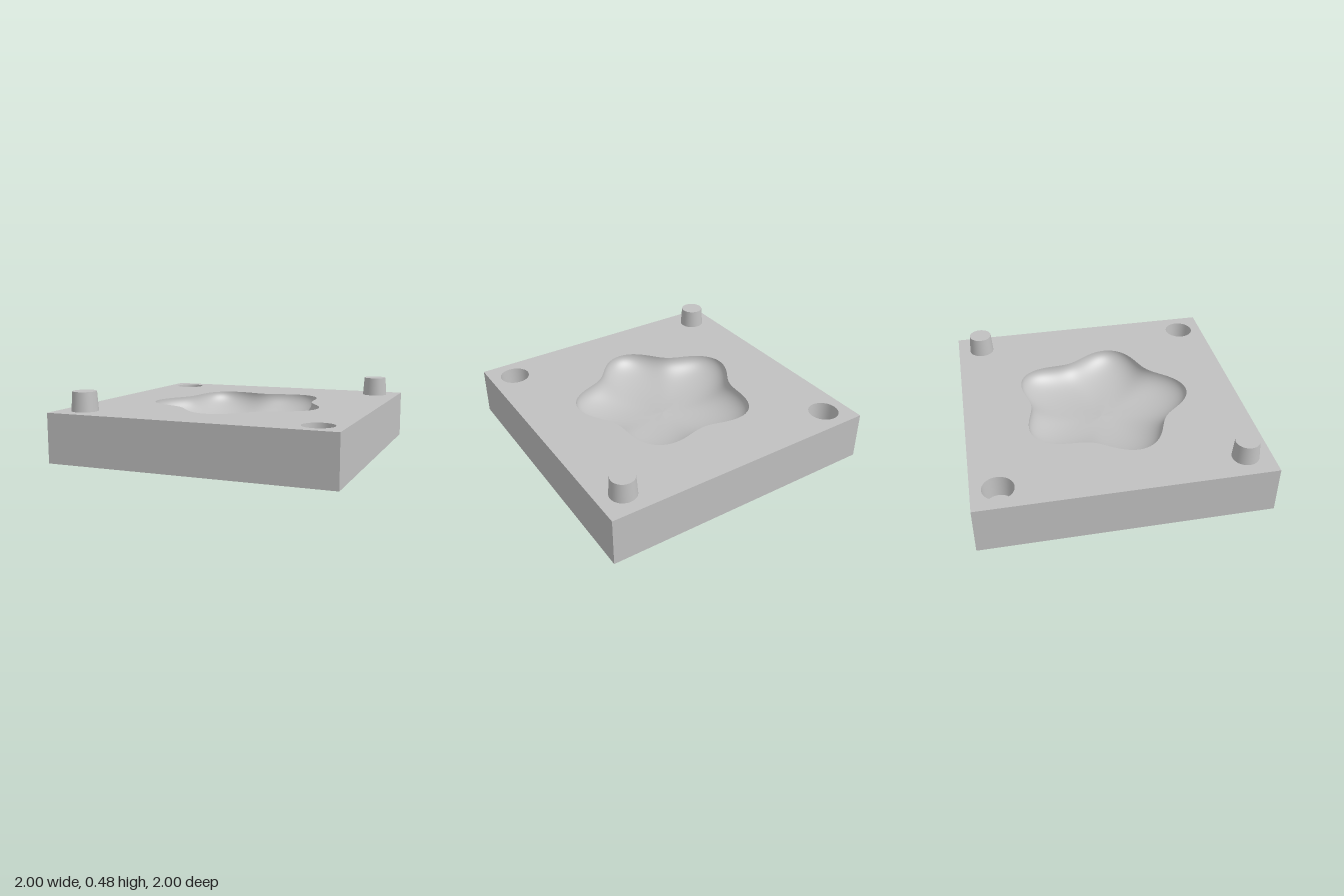
import * as THREE from 'three';

const TOP = 0.345;      // height of the parting face
const CORNER = 0.82;    // pin and socket offset
const SEG = 160, RINGS = 36;

const starRadius = (a) => 0.58 + 0.065 * Math.cos(5 * a);
// Bowl depth: steep at the rim, with a shallow dimple at the centre
const depth = (t) => 0.2 * Math.sqrt(Math.max(0, 1 - t ** 2.5)) - 0.03 * (1 - t);

function cavityGeometry() {
  const pos = [], idx = [];
  for (let i = 0; i <= RINGS; i++) {
    const t = Math.sin((i / RINGS) * Math.PI / 2);
    for (let j = 0; j < SEG; j++) {
      const a = (j / SEG) * Math.PI * 2, r = t * starRadius(a);
      pos.push(r * Math.sin(a), TOP - depth(t), r * Math.cos(a));
      if (i === RINGS) continue;
      const n = (j + 1) % SEG, p = i * SEG, q = p + SEG;
      idx.push(p + j, q + j, q + n);
      if (i > 0) idx.push(p + j, q + n, p + n);
    }
  }
  const g = new THREE.BufferGeometry();
  g.setAttribute('position', new THREE.Float32BufferAttribute(pos, 3));
  g.setIndex(idx);
  g.computeVertexNormals();
  return g;
}

export function createModel() {
  const group = new THREE.Group();
  const grey = new THREE.MeshStandardMaterial({ color: 0xc0c0c0 });
  grey.name = 'mould grey';
  const add = (name, geometry, x = 0, y = 0, z = 0) => {
    const m = new THREE.Mesh(geometry, grey);
    m.name = name;
    m.position.set(x, y, z);
    group.add(m);
    return m;
  };

  // Block sides and underside: a box without its top face
  const box = new THREE.BoxGeometry(2, TOP, 2);
  const index = Array.from(box.index.array);
  index.splice(12, 6);
  box.setIndex(index);
  box.clearGroups();
  add('block', box, 0, TOP / 2, 0);

  // Parting face, pierced by the star cavity and two sockets
  const face = new THREE.Shape([[-1, -1], [1, -1], [1, 1], [-1, 1]].map((p) => new THREE.Vector2(...p)));
  const star = [];
  for (let j = 0; j < SEG; j++) {
    const a = (j / SEG) * Math.PI * 2, r = starRadius(a);
    star.push(new THREE.Vector2(r * Math.sin(a), -r * Math.cos(a)));
  }
  face.holes.push(new THREE.Path(star));
  for (const s of [-1, 1]) {
    const ring = [];
    for (let j = 0; j < 32; j++) {
      const a = (j / 32) * Math.PI * 2;
      ring.push(new THREE.Vector2(s * CORNER + 0.106 * Math.sin(a), -s * CORNER + 0.106 * Math.cos(a)));
    }
    face.holes.push(new THREE.Path(ring));
  }
  add('partingFace', new THREE.ShapeGeometry(face).rotateX(-Math.PI / 2), 0, TOP, 0);

  add('starCavity', cavityGeometry());

  for (const s of [-1, 1]) {
    // Tapered locating pins on one diagonal
    add('locatingPin', new THREE.CylinderGeometry(0.082, 0.092, 0.135, 32), s * CORNER, TOP + 0.0675, -s * CORNER);
    // Matching sockets on the other; the profile runs downwards so walls face inwards
    const wall = [new THREE.Vector2(0.106, TOP), new THREE.Vector2(0.096, TOP - 0.15)];
    add('socketWall', new THREE.LatheGeometry(wall, 32), s * CORNER, 0, s * CORNER);
    add('socketFloor', new THREE.CircleGeometry(0.096, 32).rotateX(-Math.PI / 2), s * CORNER, TOP - 0.15, s * CORNER);
  }
  return group;
}
